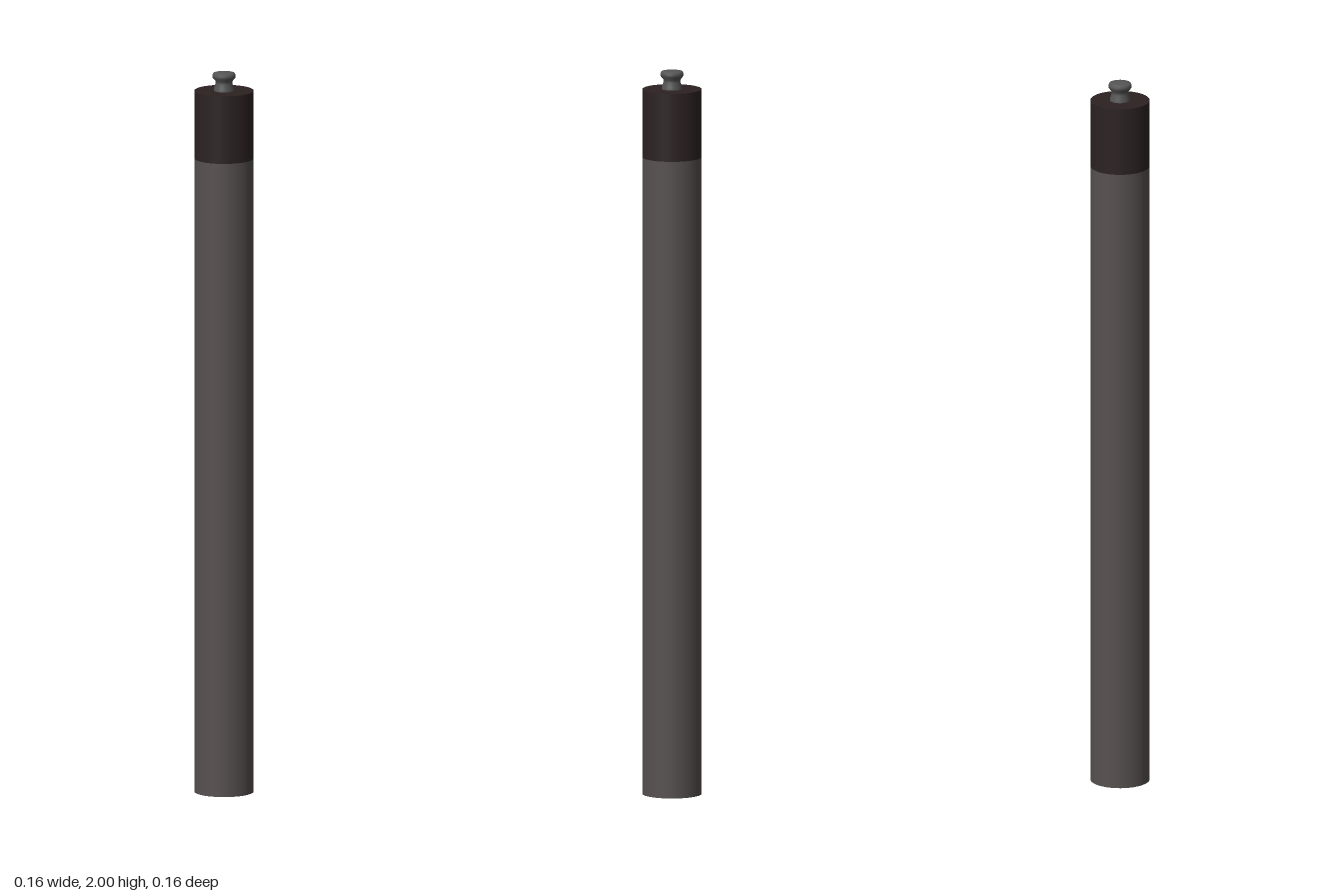
import * as THREE from 'three';

const material = (name, color) => {
  const m = new THREE.MeshStandardMaterial({ color });
  m.name = name;
  return m;
};

export function createModel() {
  const group = new THREE.Group();
  const add = (name, geometry, mat, y) => {
    const mesh = new THREE.Mesh(geometry, mat);
    mesh.name = name;
    mesh.position.y = y;
    group.add(mesh);
  };

  const R = 0.081, bodyTop = 1.76, collarTop = 1.948;

  // Long closed tube
  add('body', new THREE.CylinderGeometry(R, R, bodyTop, 48),
    material('warm grey', 0x575050), bodyTop / 2);

  // Dark collar closing the upper end
  add('collar', new THREE.CylinderGeometry(R, R, collarTop - bodyTop, 48),
    material('dark brown', 0x2c2222), (bodyTop + collarTop) / 2);

  // Small knob with a narrow waist and a flared, softly rounded head
  const profile = [
    [0.028, -0.004], [0.027, 0.008], [0.023, 0.02], [0.024, 0.028],
    [0.031, 0.036], [0.032, 0.043], [0.029, 0.049], [0.018, 0.051], [0, 0.052],
  ].map(([x, y]) => new THREE.Vector2(x, y));
  add('knob', new THREE.LatheGeometry(profile, 32),
    material('grey metal', 0x565555), collarTop);

  return group;
}
